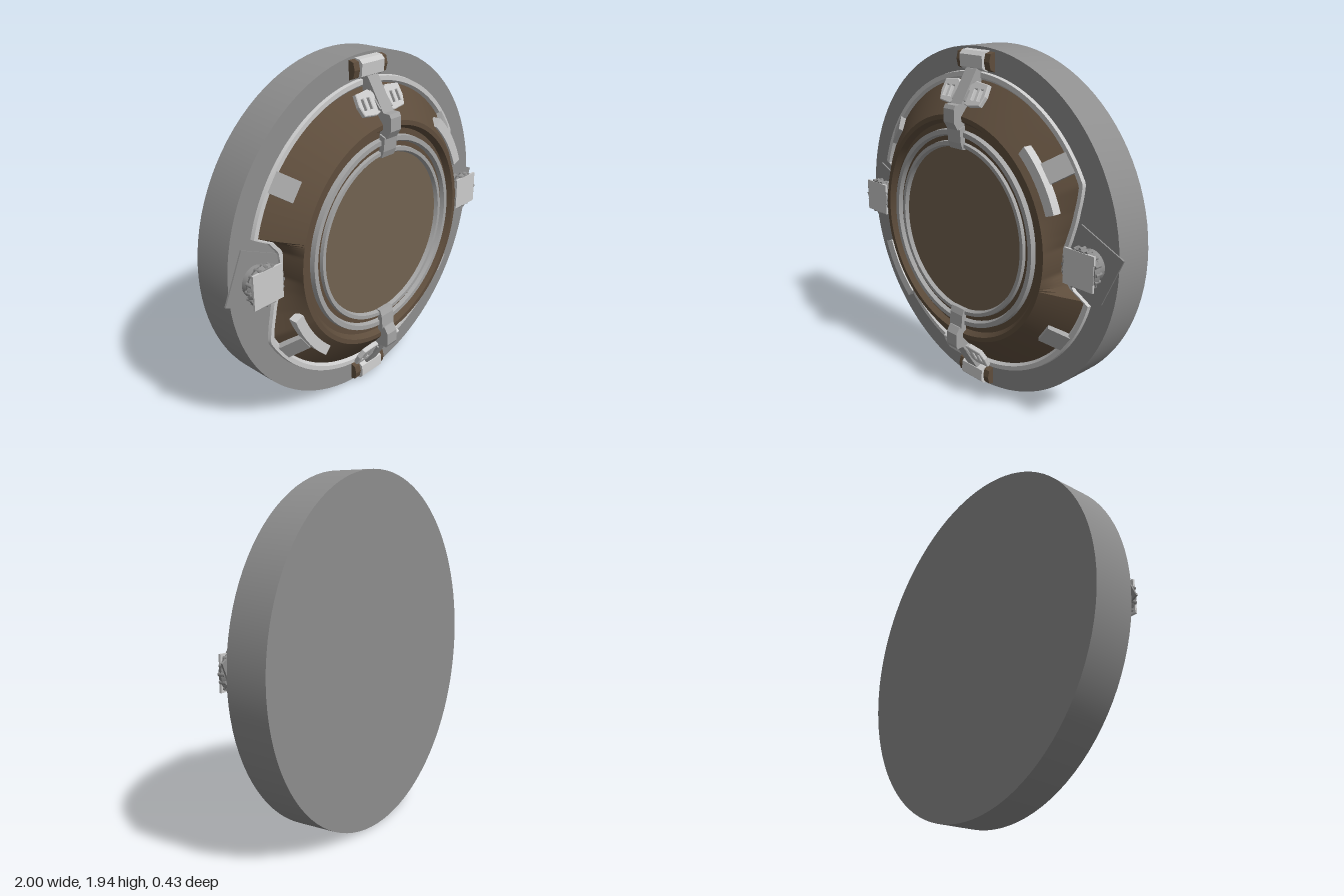
import * as THREE from 'three';
import { toCreasedNormals } from 'three/addons/utils/BufferGeometryUtils.js';

const paint = color => new THREE.MeshStandardMaterial({ color, side: THREE.DoubleSide });
const GREY = paint(0xcccccc);
const STEEL = paint(0xa4a4a4);
const DARK_STEEL = paint(0x8e8e8e);
const BROWN = paint(0x5e4d3c);
const WINDOW = paint(0x726250);
const rad = THREE.MathUtils.degToRad;

function add(parent, name, geometry, material = GREY, x = 0, y = 0, z = 0) {
  const mesh = new THREE.Mesh(geometry, material);
  mesh.name = name;
  mesh.position.set(x, y, z);
  parent.add(mesh);
  return mesh;
}

// Rim radius by angle: a circle with a notch round each thumbscrew
const NOTCH = [[-90, 0.845], [-15, 0.845], [-13, 0.74], [-8.6, 0.675], [0, 0.65],
  [10.5, 0.71], [19, 0.77], [27.5, 0.845], [90, 0.845]];
function outline(angle) {
  const a = ((angle + 90) % 180) - 90; // repeats after half a turn
  const i = NOTCH.findIndex(p => p[0] >= a);
  if (i < 1) return NOTCH[0][1];
  const [a0, r0] = NOTCH[i - 1], [a1, r1] = NOTCH[i];
  return THREE.MathUtils.lerp(r0, r1, (a - a0) / (a1 - a0));
}

// Skin between rings, listed from the outside in; each row is [radius or radius(angle), z]
function loft(rows, n = 360) {
  const pos = [], index = [];
  rows.forEach(([r, z], j) => {
    for (let i = 0; i < n; i++) {
      const deg = i * 360 / n;
      const radius = typeof r === 'function' ? r(deg) : r;
      pos.push(radius * Math.cos(rad(deg)), radius * Math.sin(rad(deg)), z);
      if (j === rows.length - 1) continue;
      const a = j * n + i, b = j * n + (i + 1) % n;
      index.push(a, b, a + n, b, b + n, a + n);
    }
  });
  const g = new THREE.BufferGeometry();
  g.setAttribute('position', new THREE.Float32BufferAttribute(pos, 3));
  g.setIndex(index);
  return toCreasedNormals(g, 0.6);
}

function extrude(shape, depth, bevel = 0) {
  return new THREE.ExtrudeGeometry(shape, {
    depth, curveSegments: 16, bevelEnabled: bevel > 0, bevelSize: bevel, bevelThickness: bevel, bevelSegments: 1
  });
}

// Side profile of [z, y] points given a width across x
function sideProfile(points, width) {
  const shape = new THREE.Shape(points.map(p => new THREE.Vector2(...p)));
  return extrude(shape, width).rotateY(-Math.PI / 2).translate(width / 2, 0, 0);
}

// Hooked latch with a hinge block and two slotted wings
function makeClip() {
  const clip = new THREE.Group();
  clip.name = 'clip';
  add(clip, 'hingeBlock', sideProfile([[0.005, 0.955], [0.045, 0.95], [0.065, 0.93],
    [0.06, 0.865], [0.035, 0.85], [0.005, 0.85]], 0.17));
  for (const s of [-1, 1])
    add(clip, 'hingeCheek', sideProfile([[0.005, 0.95], [0.04, 0.94], [0.05, 0.9],
      [0.04, 0.86], [0.005, 0.845]], 0.04), BROWN, s * 0.105);
  add(clip, 'latchArm', sideProfile([[0.01, 0.87], [0.06, 0.86], [0.165, 0.69], [0.205, 0.69],
    [0.215, 0.67], [0.215, 0.6], [0.19, 0.56], [0.14, 0.56], [0.15, 0.64], [0.03, 0.77]], 0.08), STEEL);
  add(clip, 'latchHook', sideProfile([[0.15, 0.58], [0.185, 0.565], [0.178, 0.49], [0.165, 0.455],
    [0.135, 0.455], [0.15, 0.5]], 0.1), STEEL);
  add(clip, 'pivotBlock', new THREE.BoxGeometry(0.1, 0.11, 0.07), STEEL, 0, 0.73, 0.09).rotation.x = -0.7;

  const wing = new THREE.Shape();
  wing.moveTo(0.03, -0.05);
  wing.lineTo(0.07, -0.06);
  wing.lineTo(0.15, -0.05);
  wing.lineTo(0.165, 0);
  wing.lineTo(0.16, 0.06);
  wing.lineTo(0.07, 0.07);
  wing.lineTo(0.03, 0.04);
  for (const x of [0.075, 0.118]) {
    const slot = new THREE.Path();
    slot.moveTo(x, -0.03);
    slot.lineTo(x, 0.035);
    slot.lineTo(x + 0.026, 0.035);
    slot.lineTo(x + 0.026, -0.03);
    wing.holes.push(slot);
  }
  for (const s of [0, 1]) {
    const holder = new THREE.Group();
    holder.name = 'wing';
    holder.position.set(0, 0.73, 0.1);
    holder.rotation.x = -0.5;
    const plate = add(holder, 'wingPlate', extrude(wing, 0.02, 0.004), GREY, 0, 0, s ? 0.02 : 0);
    plate.rotation.y = s * Math.PI;
    clip.add(holder);
  }
  return clip;
}

// Thumbscrew on a skewed mounting plate
function makeThumbscrew() {
  const screw = new THREE.Group();
  screw.name = 'thumbscrew';
  screw.position.x = 0.81;
  add(screw, 'mountingPlate', new THREE.BoxGeometry(0.285, 0.285, 0.01), DARK_STEEL, 0, 0, 0.013).rotation.z = rad(-24);
  const round = (r0, r1, h, n) => new THREE.CylinderGeometry(r0, r1, h, n).rotateX(Math.PI / 2);
  add(screw, 'stem', round(0.075, 0.085, 0.07, 24), DARK_STEEL, 0, 0, 0.04);
  add(screw, 'knob', round(0.1, 0.11, 0.025, 32), DARK_STEEL, 0, 0, 0.1);
  add(screw, 'knobBase', round(0.11, 0.095, 0.025, 32), DARK_STEEL, 0, 0, 0.076);
  for (let i = 0; i < 16; i++) {
    const a = i * Math.PI / 8;
    add(screw, 'grip', round(0.01, 0.01, 0.04, 6), DARK_STEEL, 0.102 * Math.cos(a), 0.102 * Math.sin(a), 0.09);
  }
  add(screw, 'squareCap', new THREE.BoxGeometry(0.185, 0.185, 0.012), GREY, 0, 0, 0.11);
  return screw;
}

// Small tile lying on the dome slope
function addTile(parent, angle, r, z) {
  const pivot = new THREE.Group();
  pivot.name = 'tile';
  pivot.rotation.z = rad(angle);
  add(pivot, 'slopeTile', new THREE.BoxGeometry(0.13, 0.11, 0.03), STEEL, r, 0, z).rotation.y = 0.7;
  parent.add(pivot);
}

export function createModel() {
  const root = new THREE.Group();
  root.name = 'roundHatch';
  const body = new THREE.Group();
  body.name = 'body';
  body.position.y = 0.97;
  root.add(body);

  // Thick backing disc
  add(body, 'backDisc', toCreasedNormals(
    new THREE.CylinderGeometry(0.97, 0.97, 0.225, 96).rotateX(Math.PI / 2), 0.5), DARK_STEEL, 0, 0, -0.1025);

  // Notched rim and the sloping dome inside it
  const inset = d => a => outline(a) - d;
  add(body, 'rim', loft([[inset(0), 0.005], [inset(0.005), 0.03], [inset(0.03), 0.03], [inset(0.048), 0.008]]));
  const base = a => Math.max(outline(a) - 0.035, 0.64);
  add(body, 'dome', loft([[base, 0.005], [a => (base(a) + 0.63) / 2, 0.09], [0.63, 0.165],
    [0.605, 0.165], [0.585, 0.135], [0.54, 0.135]]), BROWN);

  // Double collar round the window, with a dark groove between
  add(body, 'outerCollar', loft([[0.555, 0.13], [0.55, 0.163], [0.525, 0.163], [0.515, 0.14]], 96), STEEL);
  add(body, 'collarGroove', loft([[0.516, 0.141], [0.489, 0.141]], 96), BROWN);
  add(body, 'innerCollar', loft([[0.492, 0.138], [0.488, 0.16], [0.468, 0.16], [0.458, 0.138]], 96), STEEL);
  add(body, 'window', new THREE.CircleGeometry(0.48, 96), WINDOW, 0, 0, 0.139);

  // Parts repeated by a half turn
  const arc = new THREE.Shape();
  arc.absarc(0, 0, 0.72, rad(20), rad(49), false);
  arc.absarc(0, 0, 0.665, rad(49), rad(20), true);
  for (const side of [0, 1]) {
    const half = new THREE.Group();
    half.name = side ? 'lowerHalf' : 'upperHalf';
    half.rotation.z = side * Math.PI;
    half.add(makeClip(), makeThumbscrew());
    addTile(half, 145, 0.77, 0.06);
    addTile(half, 36, 0.765, 0.065);
    add(half, 'curvedSlat', extrude(arc, 0.05), GREY, 0, 0, 0.1);
    body.add(half);
  }
  return root;
}
